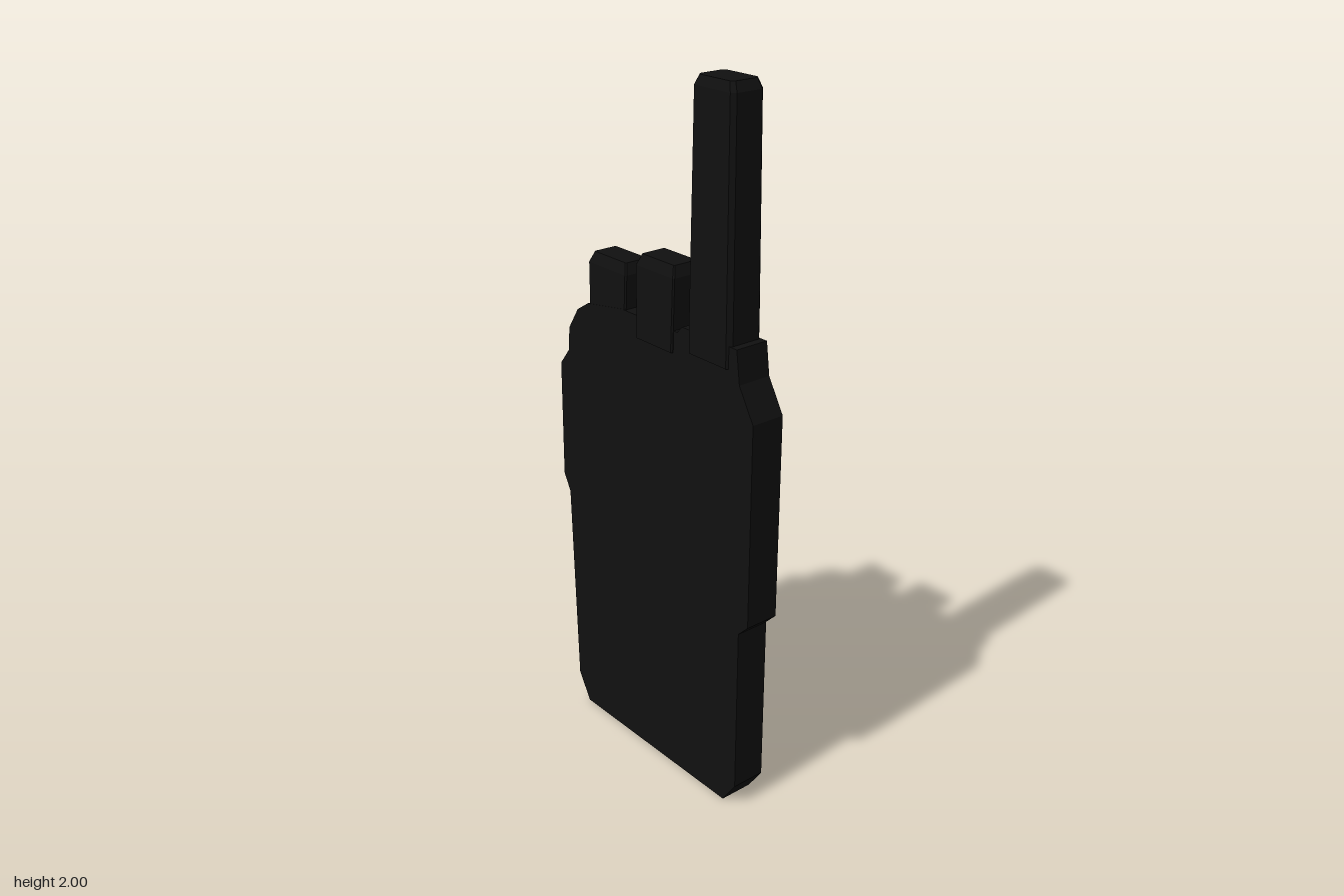
import * as THREE from 'three';

const material = new THREE.MeshStandardMaterial({ color: 0x101010, roughness: 0.8, flatShading: true });

// Stacks copies of a counter-clockwise outline along +z and caps both ends.
// Each layer is [z, scaleX, scaleY]; scaling happens about the given centre.
function loft(outline, layers, cx = 0, cy = 0) {
  const n = outline.length;
  const positions = [];
  const index = [];
  for (const [z, sx, sy] of layers) {
    for (const [x, y] of outline) positions.push(cx + (x - cx) * sx, cy + (y - cy) * sy, z);
  }
  for (let l = 0; l < layers.length - 1; l++) {
    for (let i = 0; i < n; i++) {
      const a = l * n + i, b = l * n + (i + 1) % n;
      index.push(a, b, b + n, a, b + n, a + n);
    }
  }
  const top = (layers.length - 1) * n;
  const points = outline.map(([x, y]) => new THREE.Vector2(x, y));
  for (const [a, b, c] of THREE.ShapeUtils.triangulateShape(points, [])) {
    index.push(top + a, top + b, top + c, a, c, b);
  }
  const indexed = new THREE.BufferGeometry();
  indexed.setAttribute('position', new THREE.Float32BufferAttribute(positions, 3));
  indexed.setIndex(index);
  const geometry = indexed.toNonIndexed();
  geometry.computeVertexNormals();
  return geometry;
}

// Rectangle with cut corners, given by half sizes
function cutRect(a, b, c) {
  return [[-a + c, -b], [a - c, -b], [a, -b + c], [a, b - c], [a - c, b], [-a + c, b], [-a, b - c], [-a, -b + c]];
}

export function createModel() {
  const model = new THREE.Group();
  model.name = 'handheldRadio';
  const radio = new THREE.Group();
  radio.name = 'radio';
  radio.rotation.y = THREE.MathUtils.degToRad(-33);
  model.add(radio);

  const add = (name, geometry) => {
    const mesh = new THREE.Mesh(geometry, material);
    mesh.name = name;
    radio.add(mesh);
    return mesh;
  };

  // Body: stepped silhouette with a bevelled back
  const silhouette = [
    [-0.307, 0], [0.319, 0], [0.367, 0.07], [0.367, 0.565], [0.402, 0.6], [0.402, 1.18],
    [0.349, 1.27], [0.337, 1.36], [0.13, 1.36], [0.11, 1.34], [-0.12, 1.34], [-0.271, 1.315],
    [-0.319, 1.285], [-0.361, 1.22], [-0.367, 1.15], [-0.406, 1.1], [-0.406, 0.75],
    [-0.379, 0.7], [-0.355, 0.08],
  ];
  add('body', loft(silhouette, [[-0.091, 0.81, 0.95], [-0.05, 1, 1], [0.05, 1, 1]], 0, 0.68));

  // Raised panel on the upper back
  const panel = [[-0.29, 0.84], [0.29, 0.84], [0.29, 1.21], [0.18, 1.285], [-0.18, 1.285], [-0.29, 1.21]];
  add('backPanel', loft(panel, [[-0.113, 0.93, 0.93], [-0.09, 1, 1], [-0.06, 1, 1]], 0, 1.06));

  // Upright parts: outline in plan, layers rising in y
  const upright = (name, outline, layers, x, z) => {
    const geometry = loft(outline, layers);
    geometry.rotateX(-Math.PI / 2);
    add(name, geometry).position.set(x, 0, z);
  };

  // Antenna tapering to a bevelled tip
  upright('antenna', cutRect(0.082, 0.055, 0.012),
    [[1.3, 1, 1], [1.4, 1, 1], [1.975, 0.91, 0.92], [2, 0.76, 0.78]], 0.233, 0);

  // Two control knobs with bevelled tops
  const knob = cutRect(0.082, 0.05, 0.004);
  upright('volumeKnob', knob, [[1.28, 0.95, 1], [1.435, 1, 0.95], [1.465, 0.84, 0.72]], -0.186, 0);
  upright('channelKnob', knob, [[1.28, 0.9, 1.06], [1.48, 0.95, 1], [1.51, 0.8, 0.75]], 0.021, 0.003);

  return model;
}
